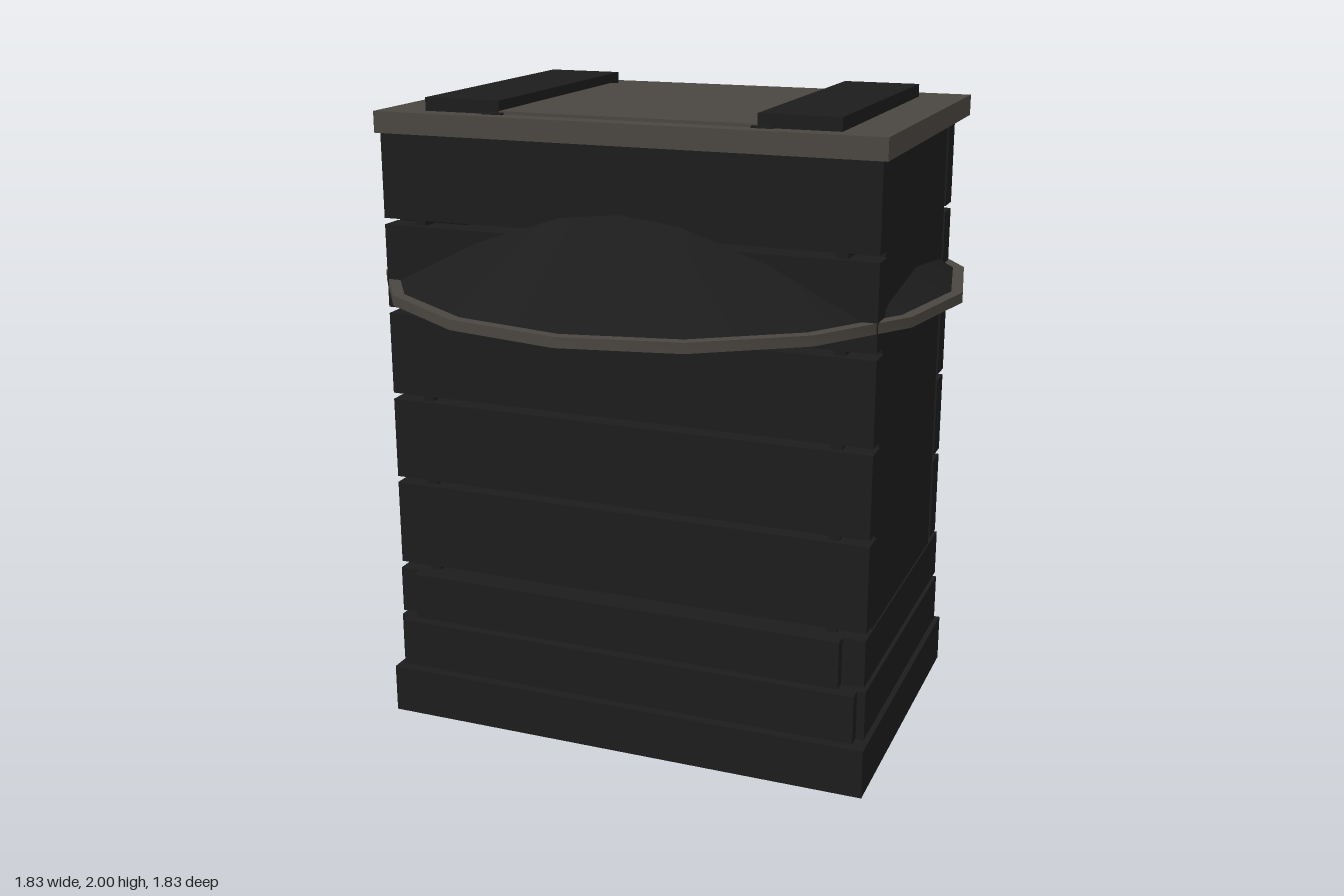
import * as THREE from 'three';
import { toCreasedNormals } from 'three/addons/utils/BufferGeometryUtils.js';

export function createModel() {
  const model = new THREE.Group();
  const charcoal = new THREE.MeshStandardMaterial({ color: 0x1c1c1c });
  charcoal.name = 'charcoal';
  const charcoalShell = charcoal.clone();
  charcoalShell.side = THREE.DoubleSide;
  const taupe = new THREE.MeshStandardMaterial({ color: 0x4a4640 });
  taupe.name = 'taupe';
  const navy = new THREE.MeshStandardMaterial({ color: 0x1a2748 });
  navy.name = 'navy';

  const add = (name, geometry, material) => {
    const mesh = new THREE.Mesh(geometry, material);
    mesh.name = name;
    model.add(mesh);
    return mesh;
  };
  // Box given by its limits on each axis
  const box = (name, material, x0, x1, y0, y1, z0, z1) => {
    const mesh = add(name, new THREE.BoxGeometry(x1 - x0, y1 - y0, z1 - z0), material);
    mesh.position.set((x0 + x1) / 2, (y0 + y1) / 2, (z0 + z1) / 2);
    return mesh;
  };
  // The same box on both sides
  const boxPair = (name, material, x0, x1, ...rest) => {
    box(name, material, x0, x1, ...rest);
    box(name, material, -x1, -x0, ...rest);
  };

  // Base: three separate open frames; the upper two have notched corners
  const tiers = [
    { y0: 0, y1: 0.155, x: 0.79, z: 0.515, frontX: 0.79, sideZ: 0.515, inX: 0.6, inZ: 0.31 },
    { y0: 0.17, y1: 0.325, x: 0.78, z: 0.51, frontX: 0.755, sideZ: 0.47, inX: 0.62, inZ: 0.33 },
    { y0: 0.34, y1: 0.49, x: 0.775, z: 0.507, frontX: 0.705, sideZ: 0.47, inX: 0.64, inZ: 0.35 },
  ];
  for (const t of tiers) {
    const outline = [
      [t.frontX, t.z], [t.frontX, t.sideZ], [t.x, t.sideZ],
      [t.x, -t.sideZ], [t.frontX, -t.sideZ], [t.frontX, -t.z],
      [-t.frontX, -t.z], [-t.frontX, -t.sideZ], [-t.x, -t.sideZ],
      [-t.x, t.sideZ], [-t.frontX, t.sideZ], [-t.frontX, t.z],
    ].filter((p, i, a) => i === 0 || p[0] !== a[i - 1][0] || p[1] !== a[i - 1][1]);
    const shape = new THREE.Shape(outline.map(([x, z]) => new THREE.Vector2(x, z)));
    shape.holes.push(new THREE.Path([
      new THREE.Vector2(-t.inX, -t.inZ), new THREE.Vector2(t.inX, -t.inZ),
      new THREE.Vector2(t.inX, t.inZ), new THREE.Vector2(-t.inX, t.inZ),
    ]));
    const frame = new THREE.ExtrudeGeometry(shape, { depth: t.y1 - t.y0, bevelEnabled: false });
    frame.rotateX(-Math.PI / 2);
    add('baseFrame', frame, charcoal).position.set(0, t.y0, -0.003);
  }

  // Thin side panels, almost flush with the slat ends, and inner corner posts
  boxPair('sidePanel', charcoal, 0.757, 0.77, 0.49, 1.895, -0.36, 0.38);
  boxPair('frontPost', charcoal, 0.645, 0.68, 0.49, 1.895, 0.35, 0.44);
  boxPair('backPost', charcoal, 0.645, 0.68, 0.49, 1.895, -0.44, -0.35);

  // Plan of a bowed back slat (shape y is towards the back)
  const steps = 20;
  const bow = (x, half) => 0.115 * (1 - (x / half) ** 2);
  const plan = [[-0.775, 0.36]];
  for (let i = 0; i <= steps; i++) {
    const x = -0.64 + (1.28 * i) / steps;
    plan.push([x, 0.36 + bow(x, 0.64)]);
  }
  plan.push([0.775, 0.36], [0.775, 0.44]);
  for (let i = 0; i <= steps; i++) {
    const x = 0.68 - (1.36 * i) / steps;
    plan.push([x, 0.44 + bow(x, 0.68)]);
  }
  plan.push([-0.775, 0.44]);
  const backShape = new THREE.Shape(plan.map(([x, z]) => new THREE.Vector2(x, z)));

  // Front and back slats with see-through gaps between them
  const gaps = [0.5, 0.792, 1.07, 1.348, 1.626];
  gaps.forEach((g, i) => {
    const y0 = g + 0.01;
    const y1 = i < gaps.length - 1 ? gaps[i + 1] - 0.01 : 1.895;
    box('frontSlat', charcoal, -0.775, 0.775, y0, y1, 0.38, 0.46);
    const slat = new THREE.ExtrudeGeometry(backShape, { depth: y1 - y0, bevelEnabled: false });
    slat.rotateX(-Math.PI / 2);
    add('backSlat', toCreasedNormals(slat, 0.4), charcoal).position.y = y0;
  });

  // Inner battens behind the middle of some back gaps
  for (const g of [gaps[0], gaps[1], gaps[3]]) {
    box('gapBatten', charcoal, -0.37, 0.37, g - 0.012, g + 0.012, -0.45, -0.43);
  }

  // Blue clips in the back gaps
  for (const y of [0.51, 0.80, 1.08, 1.36, 1.638]) {
    for (const x of [-0.49, 0, 0.49]) {
      box('clipHead', navy, x - 0.033, x + 0.033, y - 0.033, y + 0.033, -0.58, -0.505);
      box('clipStem', navy, x - 0.033, x + 0.033, y - 0.014, y + 0.014, -0.505, -0.46);
    }
  }

  // Sixteen-sided sloping skirt with a pale square-edged rim
  const skirt = add('skirt', new THREE.CylinderGeometry(0.16, 0.885, 0.435, 16, 1, true), charcoalShell);
  skirt.position.y = 1.442 + 0.435 / 2;
  const rim = new THREE.LatheGeometry([
    [0.88, 1.415], [0.915, 1.415], [0.915, 1.446], [0.88, 1.446], [0.88, 1.415],
  ].map(([r, y]) => new THREE.Vector2(r, y)), 16);
  add('skirtRim', toCreasedNormals(rim, 0.5), taupe);

  // Lid with an inset plate, two straps and a bar under each strap
  box('lid', taupe, -0.79, 0.79, 1.895, 1.96, -0.6, 0.47);
  box('lidPlate', taupe, -0.4, 0.4, 1.96, 1.97, -0.42, 0.41);
  boxPair('lidStrap', charcoal, 0.4, 0.645, 1.96, 2, -0.485, 0.41);
  boxPair('lidBar', charcoal, 0.385, 0.45, 1.96, 1.966, -0.43, 0.425);
  return model;
}
